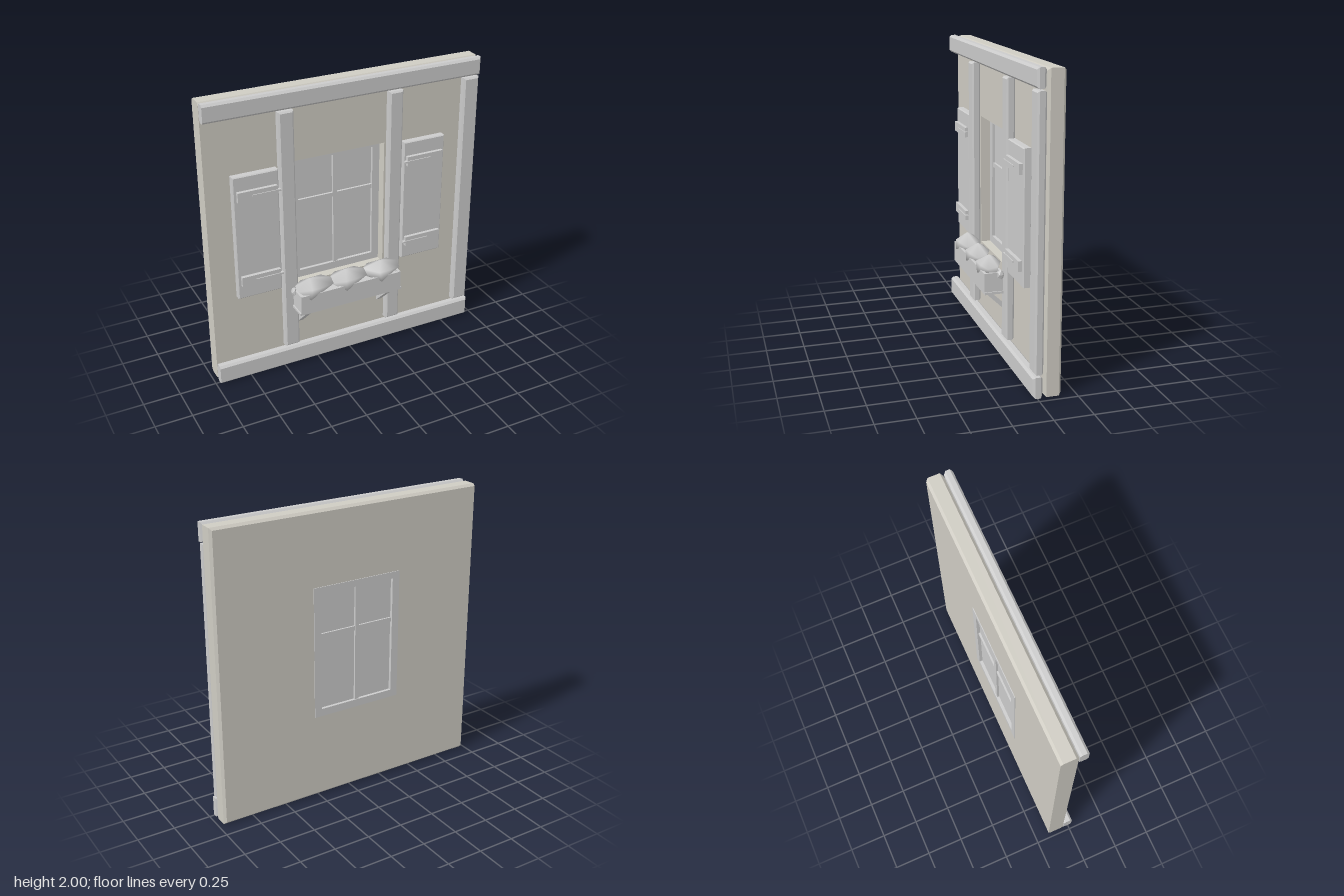
import * as THREE from 'three';
import { ConvexGeometry } from 'three/addons/geometries/ConvexGeometry.js';
import { mergeVertices } from 'three/addons/utils/BufferGeometryUtils.js';

const grey = new THREE.MeshStandardMaterial({ color: 0xcccccc });
const plaster = new THREE.MeshStandardMaterial({ color: 0xcfccc3 });
const CX = -0.048; // centre line of the window, shutters and planter

function add(parent, name, geometry, material = grey) {
  const mesh = new THREE.Mesh(geometry, material);
  mesh.name = name;
  parent.add(mesh);
  return mesh;
}

// Plain box given by its extents
function box(parent, name, x0, x1, y0, y1, z0, z1) {
  const mesh = add(parent, name, new THREE.BoxGeometry(x1 - x0, y1 - y0, z1 - z0));
  mesh.position.set((x0 + x1) / 2, (y0 + y1) / 2, (z0 + z1) / 2);
  return mesh;
}

function rect(shape, x0, x1, y0, y1) {
  shape.moveTo(x0, y0).lineTo(x1, y0).lineTo(x1, y1).lineTo(x0, y1).closePath();
  return shape;
}

// Slab with chamfered edges; the rule may move vertices before shading
function chamferSlab(x0, x1, y0, y1, z0, z1, c, rule, hole) {
  const shape = rect(new THREE.Shape(), x0, x1, y0, y1);
  if (hole) shape.holes.push(rect(new THREE.Path(), ...hole));
  const g = new THREE.ExtrudeGeometry(shape, {
    depth: z1 - z0 - 2 * c, bevelEnabled: true, bevelSegments: 1,
    bevelSize: c, bevelThickness: c, bevelOffset: -c,
  });
  g.translate(0, 0, z0 + c);
  if (rule) {
    const p = g.attributes.position, v = new THREE.Vector3();
    for (let i = 0; i < p.count; i++) {
      rule(v.fromBufferAttribute(p, i));
      p.setXYZ(i, v.x, v.y, v.z);
    }
    g.computeVertexNormals();
  }
  return g;
}

// The wall section is cut off square at this end
const squareCut = (v) => { if (v.x < -0.9) v.x = -0.97; };

function buildWindow() {
  const win = new THREE.Group();
  win.name = 'window';
  const [x0, x1, y0, y1] = [-0.37, 0.28, 0.6, 1.5];
  const frame = rect(new THREE.Shape(), x0, x1, y0, y1);
  frame.holes.push(rect(new THREE.Path(), -0.318, 0.228, 0.652, 1.455));
  const g = new THREE.ExtrudeGeometry(frame, { depth: 0.052, bevelEnabled: false });
  g.translate(0, 0, -0.157);
  add(win, 'windowFrame', g);
  box(win, 'mullion', -0.063, -0.033, 0.65, 1.456, -0.15, -0.108);
  box(win, 'glazingBar', -0.32, 0.23, 1.15, 1.18, -0.148, -0.11);
  box(win, 'glass', -0.32, 0.23, 0.65, 1.456, -0.136, -0.126);
  return win;
}

function buildShutter(side) {
  const shutter = new THREE.Group();
  shutter.name = side < 0 ? 'rightShutter' : 'leftShutter';
  const span = (a, b) => [Math.min(side * a, side * b), Math.max(side * a, side * b)];
  add(shutter, 'shutterBoard', chamferSlab(...span(0.45, 0.757), 0.623, 1.493, -0.04, 0.012, 0.006));
  for (const y of [0.757, 1.362]) {
    box(shutter, 'hingePlate', ...span(0.467, 0.735), y - 0.034, y + 0.034, 0.005, 0.036);
    box(shutter, 'hingeStrap', ...span(0.447, 0.64), y - 0.006, y + 0.006, 0.02, 0.042);
  }
  shutter.position.x = CX;
  return shutter;
}

// Low, pointed clump of foliage with a leaf drooping over the planter
function clumpGeometry(turn) {
  const t = turn * 0.015;
  const pts = [
    [-0.02 + t, 0.69, 0.075],
    [-0.13, 0.64, 0.05], [-0.13, 0.62, 0.1], [-0.08, 0.655, 0.02],
    [0.07, 0.66, 0.02], [0.13, 0.645, 0.055], [0.12, 0.63, 0.12],
    [0.03 + t, 0.635, 0.145], [-0.05, 0.64, 0.153],
    [-0.045 + t, 0.565, 0.15], [-0.1, 0.58, 0.06], [0.1, 0.58, 0.06],
  ].map((p) => new THREE.Vector3(...p));
  let g = new ConvexGeometry(pts);
  g.deleteAttribute('normal');
  g = mergeVertices(g);
  g.computeVertexNormals();
  return g;
}

function buildPlanter() {
  const planter = new THREE.Group();
  planter.name = 'planter';
  box(planter, 'planterFloor', -0.382, 0.382, 0.46, 0.476, 0.015, 0.143);
  box(planter, 'planterFront', -0.372, 0.372, 0.476, 0.6, 0.124, 0.143);
  box(planter, 'planterBack', -0.372, 0.372, 0.476, 0.6, 0.015, 0.03);
  box(planter, 'soil', -0.36, 0.36, 0.476, 0.58, 0.03, 0.124);
  for (const s of [-1, 1]) {
    box(planter, 'planterEnd', s * 0.366 - 0.008, s * 0.366 + 0.008, 0.476, 0.602, 0.015, 0.143);

    // Overhanging leaf at each end
    const leaf = add(planter, 'endLeaf', new THREE.IcosahedronGeometry(1, 0));
    leaf.scale.set(0.018, 0.035, 0.025);
    leaf.position.set(s * 0.38, 0.59, 0.035);

    // Diagonal bracket, profile drawn in z and y
    const profile = new THREE.Shape([[0.13, 0.46], [0.095, 0.46], [-0.04, 0.335], [-0.04, 0.295]]
      .map(([z, y]) => new THREE.Vector2(-z, y)));
    const g = new THREE.ExtrudeGeometry(profile, { depth: 0.038, bevelEnabled: false });
    g.translate(0, 0, -0.019);
    g.rotateY(Math.PI / 2);
    add(planter, 'bracket', g).position.x = s * 0.304;
  }
  for (let i = -1; i <= 1; i++) {
    add(planter, 'foliage', clumpGeometry(i)).position.x = i * 0.25 + 0.005;
  }
  planter.position.x = CX;
  return planter;
}

export function createModel() {
  const model = new THREE.Group();
  model.name = 'wallSection';

  // Plastered wall: chamfered outside, square around the window opening
  const hole = [-0.37, 0.28, 0.6, 1.5];
  add(model, 'wall', chamferSlab(-0.97, 0.965, 0.01, 1.995, -0.152, -0.04, 0.016, (v) => {
    squareCut(v);
    if (Math.abs(v.x) < 0.5 && v.y > 0.5 && v.y < 1.6) {
      v.x = v.x < CX ? hole[0] : hole[1];
      v.y = v.y < 1 ? hole[2] : hole[3];
    }
  }, hole), plaster);

  // Timber framing
  add(model, 'topBeam', chamferSlab(-0.97, 0.963, 1.878, 2, -0.035, 0.023, 0.014, squareCut));
  add(model, 'bottomBeam', chamferSlab(-0.97, 0.963, 0.005, 0.142, -0.035, 0.027, 0.014, squareCut));
  for (const [x0, x1] of [[-0.487, -0.383], [0.287, 0.387], [0.845, 0.957]]) {
    add(model, 'post', chamferSlab(x0, x1, 0.154, 1.866, -0.04, 0.017, 0.011));
  }

  model.add(buildWindow(), buildShutter(-1), buildShutter(1), buildPlanter());
  return model;
}
